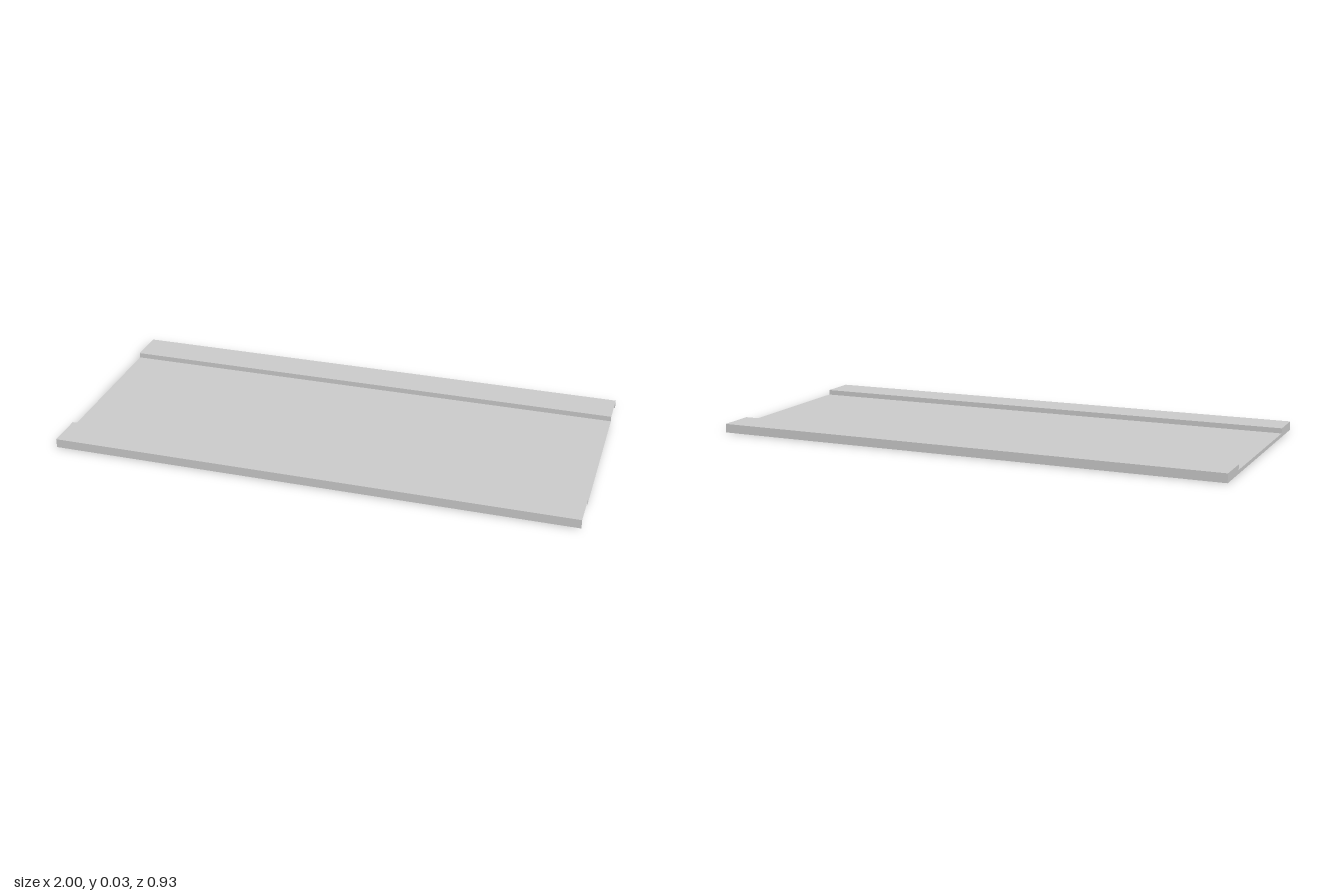
import * as THREE from 'three';

const LENGTH = 2, HALF_W = 0.463, STEP_Z = 0.321, TOP = 0.034, BED = 0.014;

export function createModel() {
  const group = new THREE.Group();
  group.name = 'tray';
  const material = new THREE.MeshStandardMaterial({ color: 0xcccccc, side: THREE.DoubleSide, flatShading: true });

  function addPanel(name, width, height, position, rotation) {
    const panel = new THREE.Mesh(new THREE.PlaneGeometry(width, height), material);
    panel.name = name;
    panel.position.set(...position);
    panel.rotation.set(...rotation);
    group.add(panel);
  }

  // Recessed flat bed, open underneath
  addPanel('bed', LENGTH, 2 * STEP_Z, [0, BED, 0], [-Math.PI / 2, 0, 0]);

  // Raised rail along each long side: top, outer wall and inner step
  for (const [side, s] of [['front', 1], ['back', -1]]) {
    const turn = s > 0 ? 0 : Math.PI;
    addPanel(side + 'RailTop', LENGTH, HALF_W - STEP_Z, [0, TOP, s * (HALF_W + STEP_Z) / 2], [-Math.PI / 2, 0, 0]);
    addPanel(side + 'OuterWall', LENGTH, TOP, [0, TOP / 2, s * HALF_W], [0, turn, 0]);
    addPanel(side + 'RailStep', LENGTH, TOP - BED, [0, (TOP + BED) / 2, s * STEP_Z], [0, Math.PI - turn, 0]);
  }

  // Closed end at -x, following the stepped section; the +x end stays open
  const section = new THREE.Shape([
    [-HALF_W, 0], [HALF_W, 0], [HALF_W, TOP], [STEP_Z, TOP],
    [STEP_Z, BED], [-STEP_Z, BED], [-STEP_Z, TOP], [-HALF_W, TOP],
  ].map(([z, y]) => new THREE.Vector2(z, y)));
  const endCap = new THREE.Mesh(new THREE.ShapeGeometry(section), material);
  endCap.name = 'endCap';
  endCap.rotation.y = -Math.PI / 2;
  endCap.position.x = -LENGTH / 2;
  group.add(endCap);

  return group;
}
